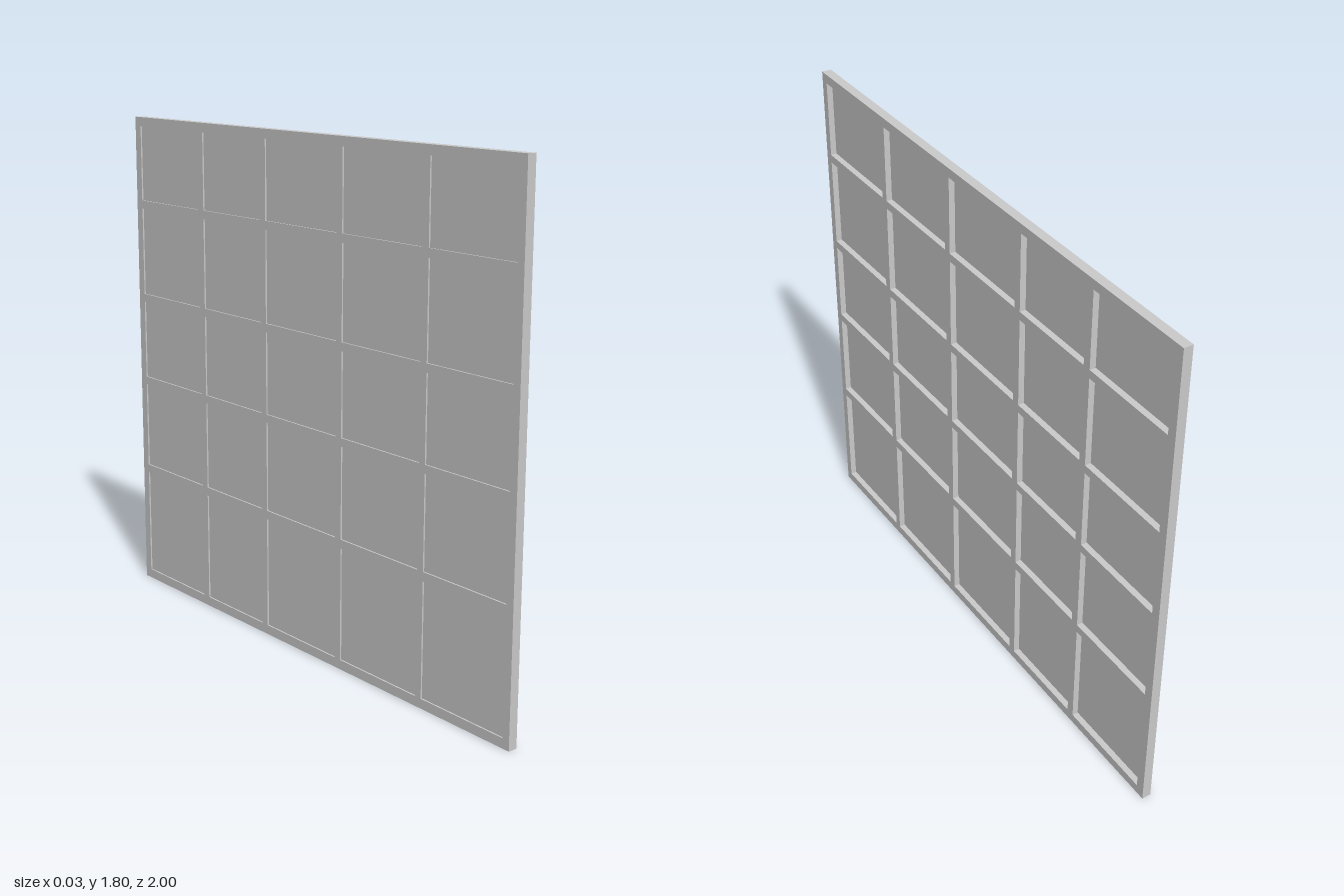
import * as THREE from 'three';

// Openings of the lattice: [start, end] along z and along y
const COLUMNS = [[-0.967, -0.6], [-0.57, -0.235], [-0.206, 0.171], [0.2, 0.578], [0.605, 0.972]];
const ROWS = [[0.034, 0.433], [0.465, 0.787], [0.816, 1.108], [1.138, 1.462], [1.492, 1.767]];
const HEIGHT = 1.8;
const THICKNESS = 0.033;
const PANE_X = -0.008;
const PANE_THICKNESS = 0.006;

function rectangle(path, a0, a1, b0, b1) {
  path.moveTo(a0, b0);
  path.lineTo(a1, b0);
  path.lineTo(a1, b1);
  path.lineTo(a0, b1);
  path.closePath();
  return path;
}

export function createModel() {
  const group = new THREE.Group();
  group.name = 'gridWindow';
  const material = new THREE.MeshStandardMaterial({ color: 0xcccccc });

  // Frame with glazing bars, drawn in the z-y plane and extruded through x
  const outline = rectangle(new THREE.Shape(), -1, 1, 0, HEIGHT);
  for (const [z0, z1] of COLUMNS) {
    for (const [y0, y1] of ROWS) {
      outline.holes.push(rectangle(new THREE.Path(), z0, z1, y0, y1));
    }
  }
  const frameGeometry = new THREE.ExtrudeGeometry(outline, { depth: THICKNESS, bevelEnabled: false });
  frameGeometry.translate(0, 0, -THICKNESS / 2).rotateY(-Math.PI / 2);
  const frame = new THREE.Mesh(frameGeometry, material);
  frame.name = 'frame';
  group.add(frame);

  // Panes, set close to the -x face
  const panes = new THREE.Group();
  panes.name = 'panes';
  for (const [z0, z1] of COLUMNS) {
    for (const [y0, y1] of ROWS) {
      const pane = new THREE.Mesh(new THREE.BoxGeometry(PANE_THICKNESS, y1 - y0, z1 - z0), material);
      pane.name = 'pane';
      pane.position.set(PANE_X, (y0 + y1) / 2, (z0 + z1) / 2);
      panes.add(pane);
    }
  }
  group.add(panes);
  return group;
}
